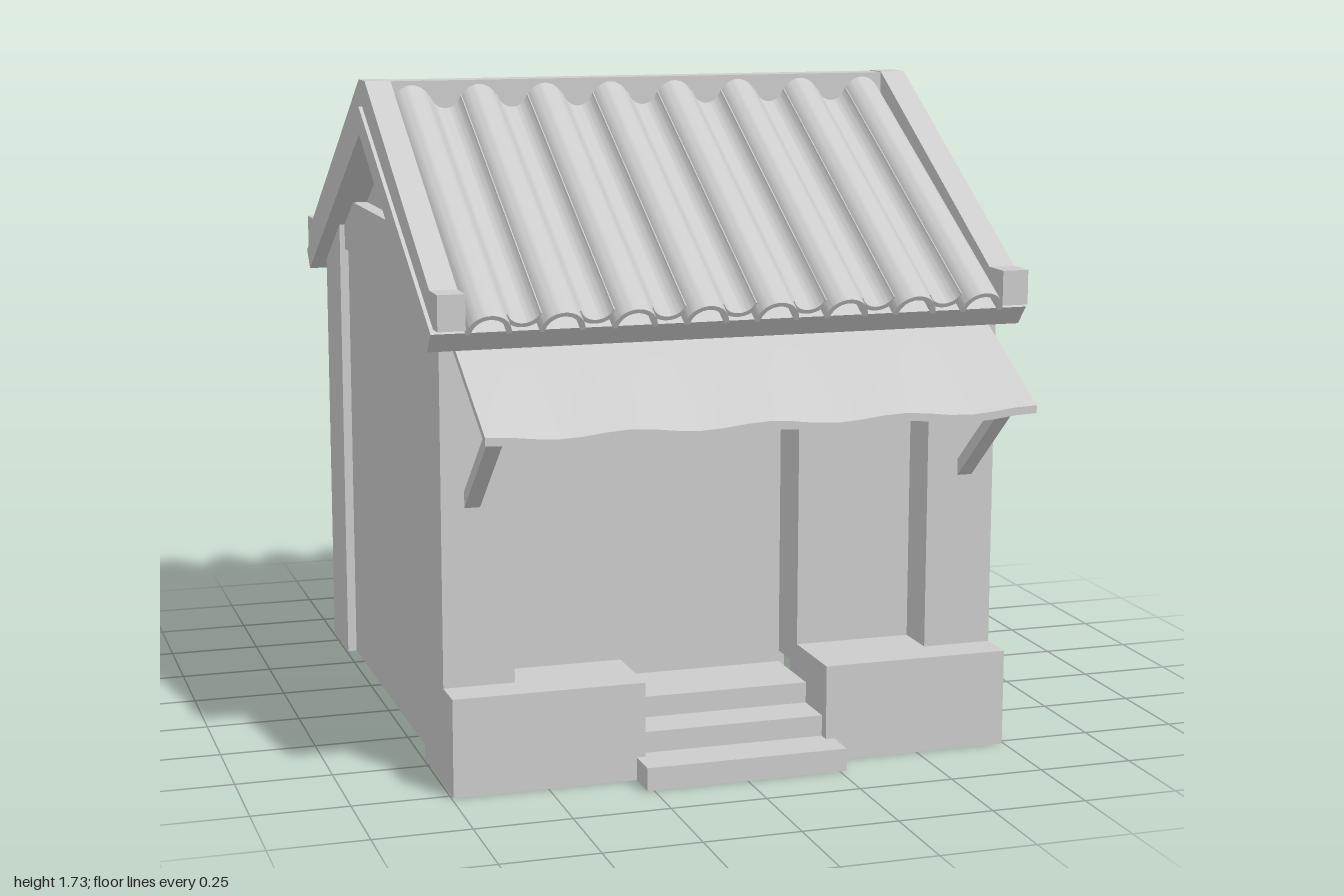
import * as THREE from 'three';
import { toCreasedNormals } from 'three/addons/utils/BufferGeometryUtils.js';

const RIDGE_Z = -0.09;
const SLOPE = Math.atan(0.573);

export function createModel() {
  const root = new THREE.Group();
  const mat = new THREE.MeshStandardMaterial({ color: 0xcccccc, side: THREE.DoubleSide });

  const add = (name, geo, parent = root) => {
    const mesh = new THREE.Mesh(geo, mat);
    mesh.name = name;
    parent.add(mesh);
    return mesh;
  };
  // Box given by its limits on each axis
  const box = (name, x0, x1, y0, y1, z0, z1) => {
    const geo = new THREE.BoxGeometry(x1 - x0, y1 - y0, z1 - z0);
    geo.translate((x0 + x1) / 2, (y0 + y1) / 2, (z0 + z1) / 2);
    return add(name, geo);
  };
  // Side profile of [z, y] points, extruded from x0 to x1
  const profile = (name, pts, x0, x1) => {
    const shape = new THREE.Shape(pts.map(([z, y]) => new THREE.Vector2(z, y)));
    const geo = new THREE.ExtrudeGeometry(shape, { depth: x1 - x0, bevelEnabled: false });
    geo.rotateY(-Math.PI / 2).translate(x1, 0, 0);
    return add(name, geo);
  };
  // The same part on both sides of the building
  const pairBox = (name, x0, x1, ...rest) => {
    box(name + 'Left', x0, x1, ...rest);
    box(name + 'Right', -x1, -x0, ...rest);
  };
  const pairProfile = (name, pts, x0, x1) => {
    profile(name + 'Left', pts, x0, x1);
    profile(name + 'Right', pts, -x1, -x0);
  };
  // Closed outline symmetric about the ridge, from [distance, y] points of one half
  const gabled = (half) => [
    ...half.map(([d, y]) => [RIDGE_Z + d, y]),
    ...half.slice().reverse().filter(([d]) => d > 0).map(([d, y]) => [RIDGE_Z - d, y]),
  ];

  // Corner pillars, tops cut to the roof slope
  pairProfile('frontPillar', [[0.44, 0], [0.67, 0], [0.67, 1.17], [0.44, 1.3]], 0.56, 0.745);
  pairProfile('backPillar', [[-0.84, 0], [-0.62, 0], [-0.62, 1.3], [-0.84, 1.18]], 0.7, 0.745);

  // Walls of the hollow room
  box('backWall', -0.745, 0.745, 0, 1.18, -0.84, -0.82);
  pairBox('sideWall', 0.7, 0.72, 0, 1.22, -0.64, 0.46);
  pairProfile('sideBeam', [[0.44, 1.21], [0.44, 1.29], [0.3, 1.36], [-0.48, 1.36], [-0.62, 1.29], [-0.62, 1.21]], 0.66, 0.73);
  pairProfile('gableWall', gabled([[0, 1.6], [0.58, 1.27], [0.58, 1.2]]), 0.67, 0.69);

  // Shop front: side panels, set-back door, lintel
  pairBox('frontPanel', 0.245, 0.57, 0.2, 1.24, 0.41, 0.55);
  box('door', -0.26, 0.26, 0.1, 1.3, 0.39, 0.41);
  box('lintel', -0.57, 0.57, 1.05, 1.18, 0.54, 0.67);
  pairBox('plinth', 0.245, 0.745, 0, 0.255, 0.5, 0.77);

  // Steps
  box('bottomStep', -0.268, 0.268, 0, 0.06, 0.74, 0.86);
  box('middleStep', -0.245, 0.245, 0, 0.115, 0.6, 0.74);
  box('topStep', -0.245, 0.245, 0, 0.17, 0.4, 0.62);

  // Awning: thin sheet, rippling more towards its outer edge
  const sheet = new THREE.BoxGeometry(1.42, 0.02, 0.33, 24, 1, 4);
  const p = sheet.attributes.position;
  for (let i = 0; i < p.count; i++) {
    const t = p.getZ(i) / 0.33 + 0.5;
    const ripple = 0.007 * t * Math.cos((2 * Math.PI * p.getX(i)) / 0.35);
    p.setY(i, p.getY(i) + 1.125 - 0.185 * t + ripple);
    p.setZ(i, p.getZ(i) + 0.835);
  }
  add('awning', toCreasedNormals(sheet, 0.5));
  pairProfile('awningStrut', [[0.66, 0.71], [0.66, 0.75], [0.92, 0.97], [0.945, 0.95], [0.67, 0.715]], 0.645, 0.685);

  // Roof deck, raised edge boards with upturned ends, ridge
  profile('roofDeck', [
    [RIDGE_Z, 1.66], [RIDGE_Z - 0.855, 1.17], [RIDGE_Z - 0.81, 1.12],
    [RIDGE_Z, 1.585], [RIDGE_Z + 0.81, 1.12], [RIDGE_Z + 0.855, 1.17],
  ], -0.785, 0.785);
  const board = [[0.04, 1.73], [0.8, 1.27], [0.885, 1.27], [0.885, 1.18], [0.83, 1.18]];
  pairProfile('edgeBoard', [...gabled(board).slice(0, 5), [RIDGE_Z, 1.65], ...gabled(board).slice(5)], 0.705, 0.775);
  box('ridge', -0.775, 0.775, 1.6, 1.728, RIDGE_Z - 0.04, RIDGE_Z + 0.04);

  // Tiles: rounded caps with shallow channels between
  const arc = (cy, r, thick, from, to, length) => {
    const shape = new THREE.Shape();
    shape.absarc(0, cy, r, from, to, false);
    shape.absarc(0, cy, r - thick, to, from, true);
    const geo = new THREE.ExtrudeGeometry(shape, { depth: length, bevelEnabled: false, curveSegments: 12 });
    return toCreasedNormals(geo, 0.6);
  };
  const cap = arc(0.012, 0.057, 0.012, 0, Math.PI, 1.01);
  const channel = arc(0.058, 0.056, 0.012, Math.PI * 1.1, Math.PI * 1.9, 0.975);
  for (const [name, turn] of [['frontTiles', 0], ['backTiles', Math.PI]]) {
    const side = new THREE.Group();
    side.name = name;
    side.position.set(0, 1.66, RIDGE_Z);
    side.rotation.y = turn;
    const slope = new THREE.Group();
    slope.name = name + 'Slope';
    slope.rotation.x = SLOPE;
    side.add(slope);
    for (let i = 0; i < 8; i++) {
      const x = (i - 3.5) * 0.185;
      add('capTile', cap, slope).position.x = x;
      if (i < 7) add('channelTile', channel, slope).position.x = x + 0.0925;
    }
    root.add(side);
  }
  return root;
}
